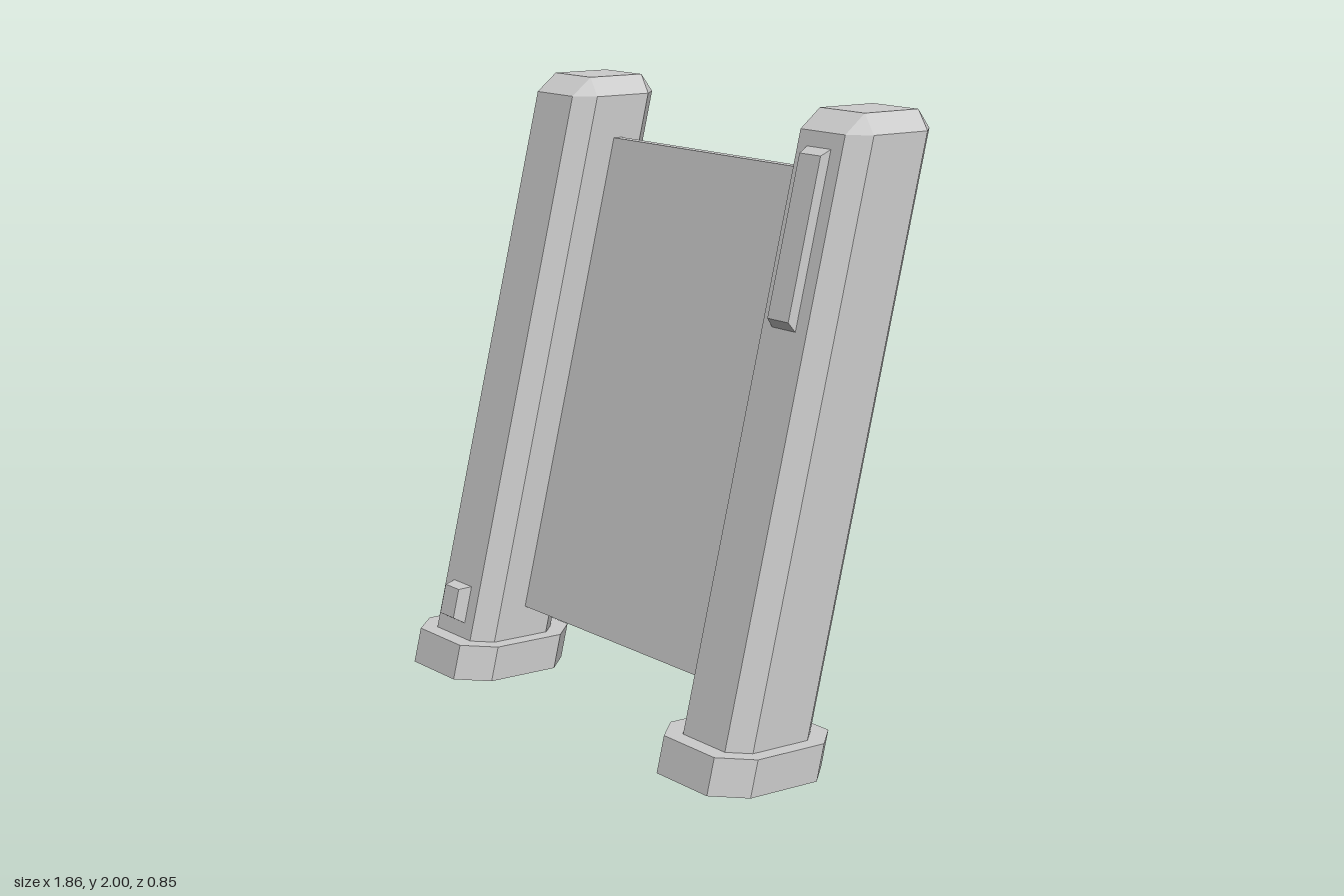
import * as THREE from 'three';

// Everything leans backwards: z is offset by height
const lean = (y) => 0.205 - 0.239 * y;

// Chamfered square ring: half width h, half flat width f (f = h gives a plain square)
function ring(y, h, f) {
  const z = lean(y);
  return [[-f, h], [f, h], [h, f], [h, -f], [f, -h], [-f, -h], [-h, -f], [-h, f]]
    .map(([px, pz]) => new THREE.Vector3(px, y, pz + z));
}

// Skin a list of rings with flat faces, optionally closing both ends
function loft(rings, caps) {
  const pos = [];
  const tri = (a, b, c) => {
    const area = b.clone().sub(a).cross(c.clone().sub(a)).length();
    if (area > 1e-8) pos.push(...a.toArray(), ...b.toArray(), ...c.toArray());
  };
  for (let r = 0; r < rings.length - 1; r++) {
    const a = rings[r], b = rings[r + 1];
    for (let i = 0; i < 8; i++) {
      const j = (i + 1) % 8;
      tri(a[i], a[j], b[j]);
      tri(a[i], b[j], b[i]);
    }
  }
  if (caps) {
    const first = rings[0], last = rings[rings.length - 1];
    for (let i = 1; i < 7; i++) {
      tri(first[0], first[i + 1], first[i]);
      tri(last[0], last[i], last[i + 1]);
    }
  }
  const g = new THREE.BufferGeometry();
  g.setAttribute('position', new THREE.Float32BufferAttribute(pos, 3));
  g.computeVertexNormals();
  return g;
}

// Leaning block from y0 to y1; its front face is narrowed to frontW and f0..f1
function leaningBlock(w, y0, y1, zBack, zFront, frontW = w, f0 = y0, f1 = y1) {
  const g = new THREE.BoxGeometry(1, 1, 1);
  const p = g.attributes.position;
  for (let i = 0; i < p.count; i++) {
    const front = p.getZ(i) > 0, top = p.getY(i) > 0;
    const y = front ? (top ? f1 : f0) : (top ? y1 : y0);
    p.setXYZ(i, p.getX(i) * (front ? frontW : w), y, lean(y) + (front ? zFront : zBack));
  }
  g.computeVertexNormals();
  return g;
}

export function createModel() {
  const group = new THREE.Group();
  const grey = new THREE.MeshStandardMaterial({ color: 0xcccccc });
  grey.name = 'light grey';
  const add = (name, geometry, x = 0) => {
    const mesh = new THREE.Mesh(geometry, grey);
    mesh.name = name;
    mesh.position.x = x;
    group.add(mesh);
  };

  // Hollow posts with bevelled tops
  const post = loft([
    ring(1.9, 0.13, 0.085), ring(0.07, 0.13, 0.085),
    ring(0.07, 0.165, 0.105), ring(1.94, 0.165, 0.105), ring(2, 0.105, 0.105),
  ], true);

  // Open collars around the feet
  const collar = loft([
    ring(0.115, 0.165, 0.105), ring(0, 0.165, 0.105),
    ring(0, 0.22, 0.127), ring(0.115, 0.22, 0.127), ring(0.115, 0.165, 0.105),
  ], false);

  for (const [side, s] of [['left', 1], ['right', -1]]) {
    add(side + 'Post', post, s * 0.713);
    add(side + 'FootCollar', collar, s * 0.711);
  }

  // Thin panel between the posts
  add('panel', leaningBlock(1.12, 0.22, 1.798, -0.027, 0.004));

  // Raised plates on the post fronts
  add('tallPlate', leaningBlock(0.112, 1.355, 1.893, 0.165, 0.195, 0.1, 1.385, 1.875), 0.71);
  add('smallPlate', leaningBlock(0.11, 0.164, 0.288, 0.165, 0.207, 0.084, 0.185, 0.282), -0.714);

  return group;
}
